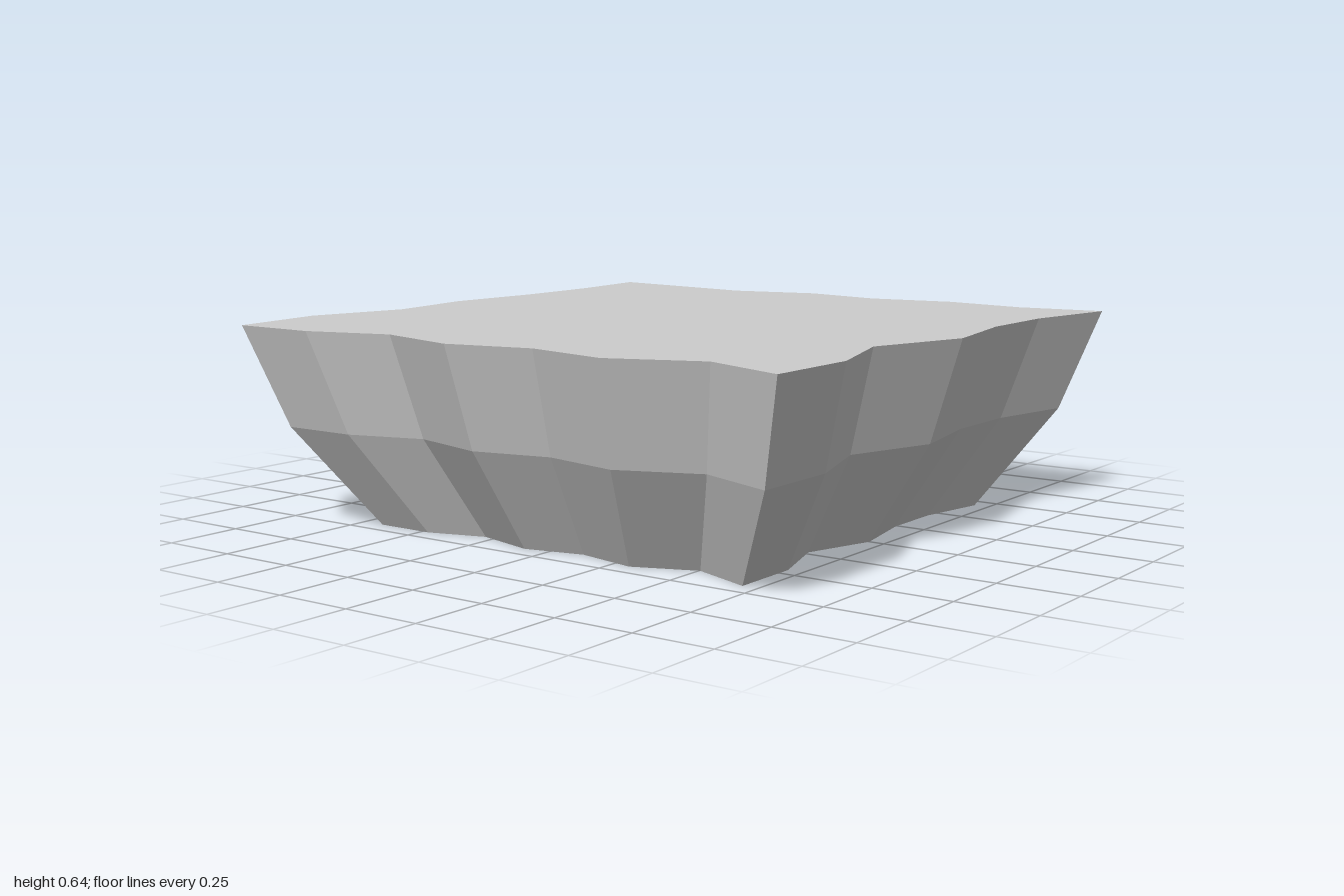
import * as THREE from 'three';

const HEIGHT = 0.64;

// Jagged rim of the slab, as [x, z], going round from the back right corner
const RIM = [
  [-0.96, -0.98], [-0.41, -0.91], [-0.12, -0.98], [0.155, -0.93], [0.44, -0.98], [0.72, -0.94],
  [1, -0.98], [0.935, -0.64], [0.935, -0.34], [1, 0], [0.895, 0.33], [1, 0.65],
  [1, 0.98], [0.72, 0.87], [0.44, 0.98], [0.155, 0.92], [-0.12, 0.98], [-0.41, 0.9], [-0.68, 0.98],
  [-0.96, 0.98], [-1, 0.65], [-0.915, 0.33], [-0.96, 0], [-0.93, -0.34], [-0.93, -0.66],
];

// Width of the slab at a height: 0.7 at the base, 0.9 halfway, 1 at the top
function taper(y) {
  const t = y / HEIGHT;
  return t < 0.5 ? 0.7 + 0.4 * t : 0.8 + 0.2 * t;
}

export function createModel() {
  const group = new THREE.Group();
  group.name = 'rockPlatform';

  // Extrude the rim upwards in two tiers
  const shape = new THREE.Shape(RIM.map(([x, z]) => new THREE.Vector2(x, -z)));
  const geometry = new THREE.ExtrudeGeometry(shape, { depth: HEIGHT, steps: 2, bevelEnabled: false });
  geometry.rotateX(-Math.PI / 2);

  // Draw the lower tiers inwards
  const pos = geometry.attributes.position;
  for (let i = 0; i < pos.count; i++) {
    const s = taper(pos.getY(i));
    pos.setX(i, pos.getX(i) * s);
    pos.setZ(i, pos.getZ(i) * s);
  }
  geometry.computeVertexNormals();

  const slab = new THREE.Mesh(
    geometry,
    new THREE.MeshStandardMaterial({ color: 0xcccccc, flatShading: true }),
  );
  slab.name = 'rockSlab';
  group.add(slab);
  return group;
}
